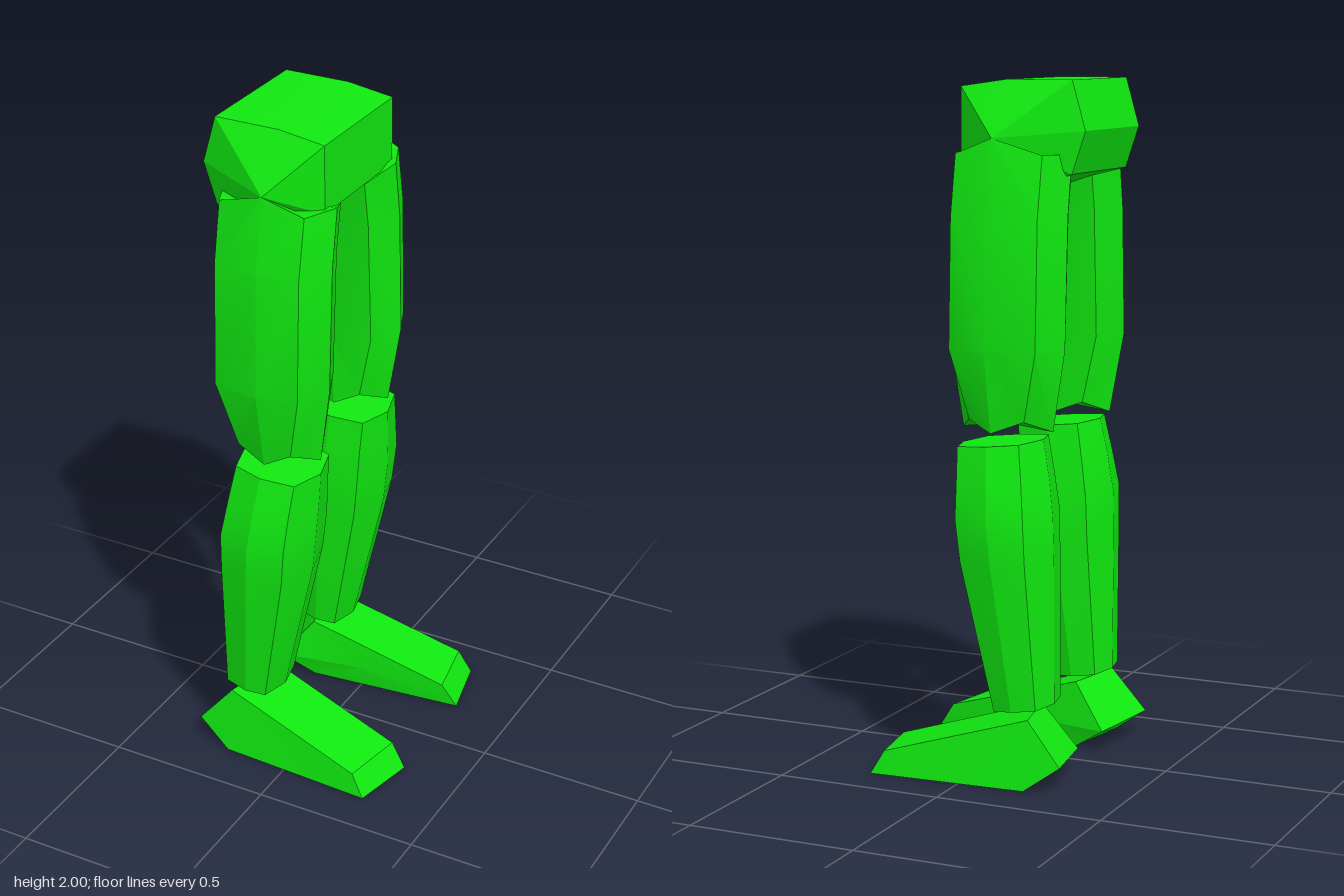
import * as THREE from 'three';
import { toCreasedNormals } from 'three/addons/utils/BufferGeometryUtils.js';

const material = new THREE.MeshStandardMaterial({ color: 0x10e810 });

const mean = (ring) => [0, 1, 2].map((k) => ring.reduce((s, p) => s + p[k], 0) / ring.length);

// Skin a stack of equal-length rings, closing each end with a fan to a tip point.
function loft(name, rings, tipA = mean(rings[0]), tipB = mean(rings[rings.length - 1]), crease = 0.4) {
  const tris = [];
  const n = rings[0].length;
  const last = rings[rings.length - 1];
  for (let i = 0; i < n; i++) {
    const j = (i + 1) % n;
    for (let r = 0; r < rings.length - 1; r++) {
      const a = rings[r], b = rings[r + 1];
      tris.push([a[i], a[j], b[j]], [a[i], b[j], b[i]]);
    }
    tris.push([tipA, rings[0][j], rings[0][i]], [tipB, last[i], last[j]]);
  }
  // Turn the faces outward whatever the ring direction
  const v = (p) => new THREE.Vector3(...p);
  const c = v(mean(rings.flat()));
  const volume = tris.reduce((s, [p, q, r]) =>
    s + v(p).sub(c).dot(v(q).sub(c).cross(v(r).sub(c))), 0);
  if (volume < 0) tris.forEach((t) => t.reverse());
  const geometry = new THREE.BufferGeometry();
  geometry.setAttribute('position', new THREE.Float32BufferAttribute(tris.flat(2), 3));
  const mesh = new THREE.Mesh(toCreasedNormals(geometry, crease), material);
  mesh.name = name;
  return mesh;
}

// Eight-sided section: four side midpoints and four inset corners.
function octagon({ y, cornerY = y, x: [xb, xf], z: [zi, zo], dx, dz, cx, tilt = 0 }) {
  const cz = (zi + zo) / 2;
  const p = (x, h, z) => [x, h + tilt * x, z];
  return [
    p(cx, y, zo), p(xf - dx, cornerY, zo - dz),
    p(xf, y, cz), p(xf - dx, cornerY, zi + dz),
    p(cx, y, zi), p(xb + dx, cornerY, zi + dz),
    p(xb, y, cz), p(xb + dx, cornerY, zo - dz),
  ];
}

function thighRings() {
  const rings = [
    { y: 1.015, cornerY: 1.05, x: [-0.23, 0.05], z: [0.11, 0.31], dx: 0.055, dz: 0.02 },
    { y: 1.25, x: [-0.27, 0.085], z: [0.09, 0.352], dx: 0.045, dz: 0.025 },
    { y: 1.62, x: [-0.27, 0.085], z: [0.07, 0.338], dx: 0.045, dz: 0.025 },
    { y: 1.795, x: [-0.27, 0.085], z: [0.05, 0.3], dx: 0.045, dz: 0.02 },
  ].map((o) => octagon({ cx: -0.08, ...o }));
  // Hip end: raised outside, sloping down on the inside
  const top = rings[3];
  top[0][1] = 1.84;
  top[4][1] = 1.73;
  top[3][1] = top[5][1] = 1.76;
  return rings;
}

function shinRings() {
  return [
    { y: 0.202, x: [-0.24, -0.07], z: [0.115, 0.325], dx: 0.02, dz: 0.015, cx: -0.15, tilt: -0.11 },
    { y: 0.65, x: [-0.24, 0.03], z: [0.074, 0.378], dx: 0.035, dz: 0.025, cx: -0.11 },
    { y: 0.77, x: [-0.237, 0.042], z: [0.07, 0.384], dx: 0.035, dz: 0.025, cx: -0.1 },
    { y: 0.88, x: [-0.222, 0.048], z: [0.075, 0.362], dx: 0.035, dz: 0.025, cx: -0.09 },
    { y: 0.974, x: [-0.2, 0.05], z: [0.085, 0.335], dx: 0.03, dz: 0.02, cx: -0.08, tilt: -0.09 },
  ].map(octagon);
}

// Wedge foot between its outer and inner outlines
const footRings = [
  [[-0.2, 0, 0.352], [-0.305, 0.075, 0.333], [-0.2, 0.2, 0.32], [0.235, 0.07, 0.365], [0.275, 0, 0.375]],
  [[-0.16, 0, 0.13], [-0.26, 0.065, 0.092], [-0.16, 0.2, 0.125], [0.27, 0.07, 0.17], [0.317, 0, 0.18]],
];

export function createModel() {
  const group = new THREE.Group();
  group.name = 'legs';

  // Pelvis: straight block with a pointed hip on each side
  const profile = [[-0.28, 2], [-0.08, 2], [0.06, 1.98], [0.06, 1.78], [-0.1, 1.68], [-0.28, 1.74], [-0.32, 1.86]];
  const section = (z) => profile.map(([x, y]) => [x, y, z]);
  group.add(loft('pelvis', [section(-0.2), section(0.2)], [-0.08, 1.84, -0.3], [-0.08, 1.84, 0.3], 0.2));

  // Matching legs on both sides
  for (const side of [1, -1]) {
    const leg = new THREE.Group();
    leg.name = side > 0 ? 'nearLeg' : 'farLeg';
    const mirror = (rings) => rings.map((r) => r.map(([x, y, z]) => [x, y, z * side]));
    leg.add(
      loft('thigh', mirror(thighRings())),
      loft('shin', mirror(shinRings())),
      loft('foot', mirror(footRings), undefined, undefined, 0.2),
    );
    group.add(leg);
  }
  return group;
}
